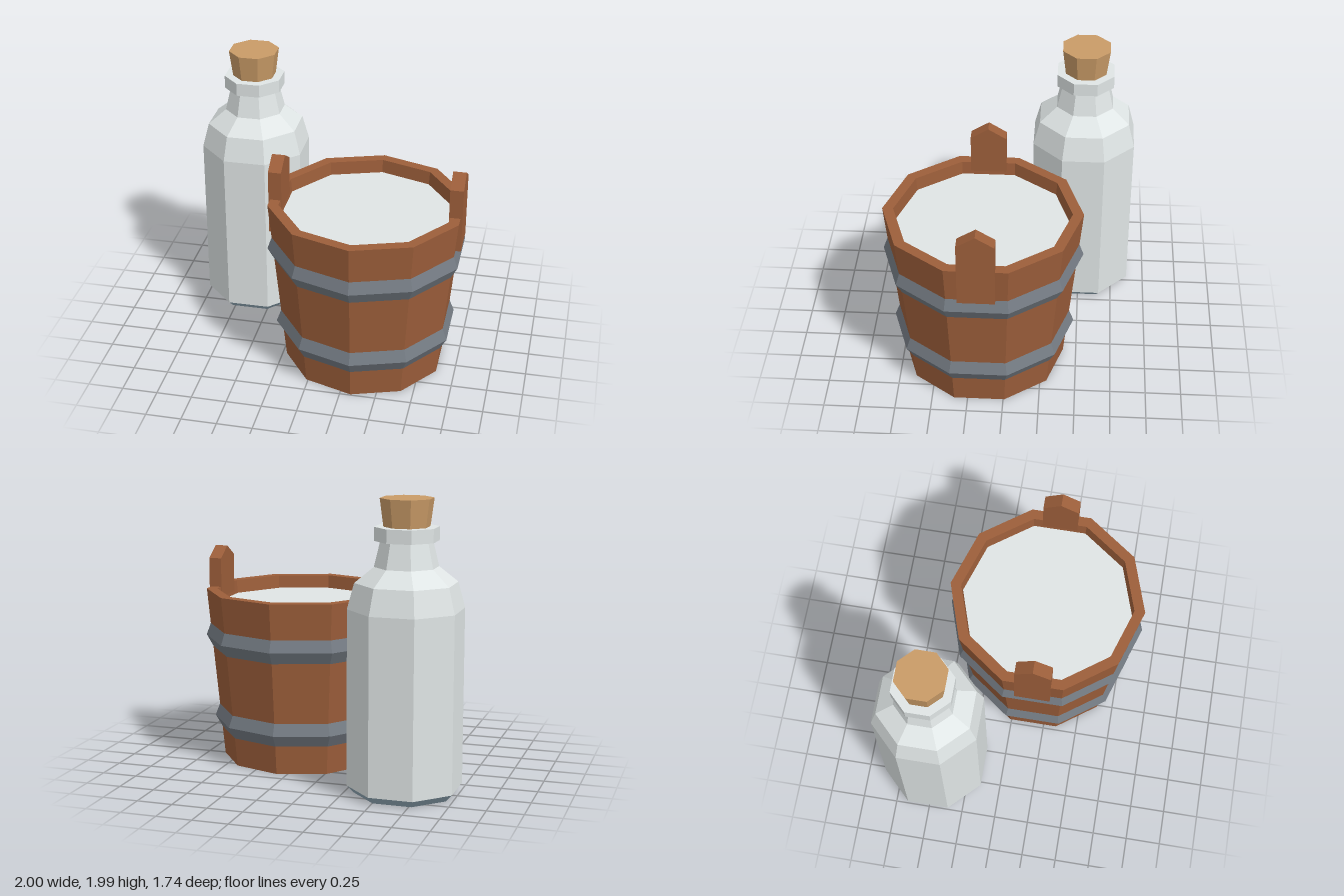
import * as THREE from 'three';

const flat = (name, color) => new THREE.MeshStandardMaterial({ name, color, flatShading: true });

export function createModel() {
  const wood = flat('wood', 0x9c5e3a);
  const iron = flat('iron', 0x747b83);
  const milk = flat('milk white', 0xdfe5e5);
  const glass = flat('blue glass', 0x93abb9);
  const cork = flat('cork', 0xc99b67);

  const add = (parent, name, geometry, material) => {
    const mesh = new THREE.Mesh(geometry, material);
    mesh.name = name;
    parent.add(mesh);
    return mesh;
  };
  const lathe = (profile, sides, start = 0) =>
    new THREE.LatheGeometry(profile.map(([r, y]) => new THREE.Vector2(r, y)), sides, start);

  const model = new THREE.Group();
  model.name = 'milkBucketAndBottle';

  // Bucket: ten staves with a corner towards the front
  const bucket = new THREE.Group();
  bucket.name = 'bucket';
  bucket.position.set(0.325, 0, 0.168);
  model.add(bucket);
  const wallRadius = (y) => 0.574 + (0.692 - 0.574) * (y / 1.235);
  add(bucket, 'staves', lathe([
    [0, 0], [wallRadius(0), 0], [wallRadius(1.235), 1.235], [0.616, 1.235], [0.6, 1.05], [0, 1.05],
  ], 10), wood);
  add(bucket, 'milkSurface', lathe([[0.606, 1.14], [0, 1.14]], 10), milk);

  // Ridged hoops
  for (const [name, y, ridge] of [['lowerHoop', 0.29, 0.643], ['upperHoop', 0.895, 0.698]]) {
    const low = y - 0.085, high = y + 0.085;
    add(bucket, name, lathe([
      [wallRadius(low) - 0.01, low], [wallRadius(low), low], [ridge, y],
      [wallRadius(high), high], [wallRadius(high) - 0.01, high],
    ], 10), iron);
  }

  // Pointed lugs on both sides of the rim
  const lugShape = new THREE.Shape([
    [-0.126, 0.98], [0.126, 0.98], [0.126, 1.445], [0, 1.523], [-0.126, 1.445],
  ].map(([x, y]) => new THREE.Vector2(x, y)));
  const lugGeometry = new THREE.ExtrudeGeometry(lugShape, { depth: 0.092, bevelEnabled: false });
  lugGeometry.translate(0, 0, -0.046).rotateY(Math.PI / 2);
  for (const side of [-1, 1]) {
    add(bucket, side > 0 ? 'leftLug' : 'rightLug', lugGeometry, wood).position.x = side * 0.626;
  }

  // Bottle: octagonal, a flat face to the front; profiles give half-widths across flats
  const bottle = new THREE.Group();
  bottle.name = 'bottle';
  bottle.position.set(-0.635, 0, -0.507);
  model.add(bottle);
  const octagon = (profile) =>
    lathe(profile.map(([w, y]) => [w / Math.cos(Math.PI / 8), y]), 8, Math.PI / 8);
  add(bottle, 'bottleBase', octagon([[0, 0], [0.32, 0], [0.364, 0.05]]), glass);
  add(bottle, 'bottleBody', octagon([
    [0.364, 0.05], [0.364, 1.26], [0.32, 1.435], [0.2, 1.54], [0.162, 1.712],
    [0.201, 1.712], [0.201, 1.805], [0, 1.805],
  ]), milk);
  add(bottle, 'stopper', octagon([[0.143, 1.8], [0.167, 1.993], [0, 1.993]]), cork);

  return model;
}
